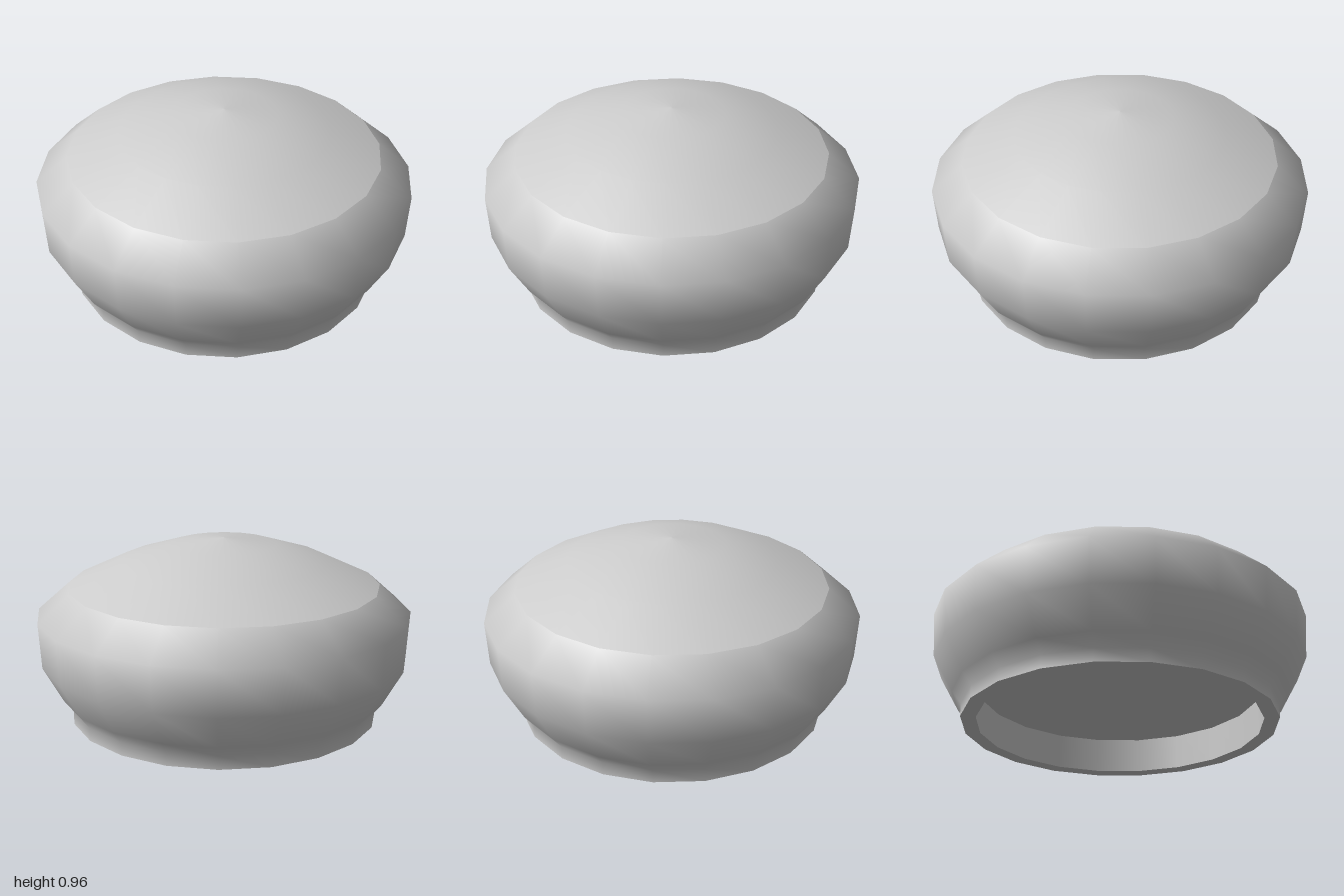
import * as THREE from 'three';

const SIDES = 20;

export function createModel() {
  const model = new THREE.Group();
  model.name = 'domedKnob';
  const material = new THREE.MeshStandardMaterial({ color: 0xcccccc });

  // Each profile is smooth along its length; separate profiles meet in hard edges.
  // Points run from the underside centre outward and up to the crown.
  const addRing = (name, profile) => {
    const points = profile.map(([r, y]) => new THREE.Vector2(r, y));
    const mesh = new THREE.Mesh(new THREE.LatheGeometry(points, SIDES), material);
    mesh.name = name;
    model.add(mesh);
  };

  // Hollow underside
  addRing('recessFloor', [[0, 0.19], [0.75, 0.19]]);
  addRing('recessWall', [[0.75, 0.19], [0.75, 0]]);
  addRing('bottomRim', [[0.75, 0], [0.83, 0]]);

  // Bulging side
  addRing('body', [
    [0.83, 0], [0.83, 0.07], [0.88, 0.135], [0.985, 0.325], [1, 0.565], [0.83, 0.715],
  ]);

  // Shallow domed top
  addRing('domeCap', [[0.83, 0.715], [0.555, 0.845], [0.28, 0.932], [0, 0.965]]);

  return model;
}
